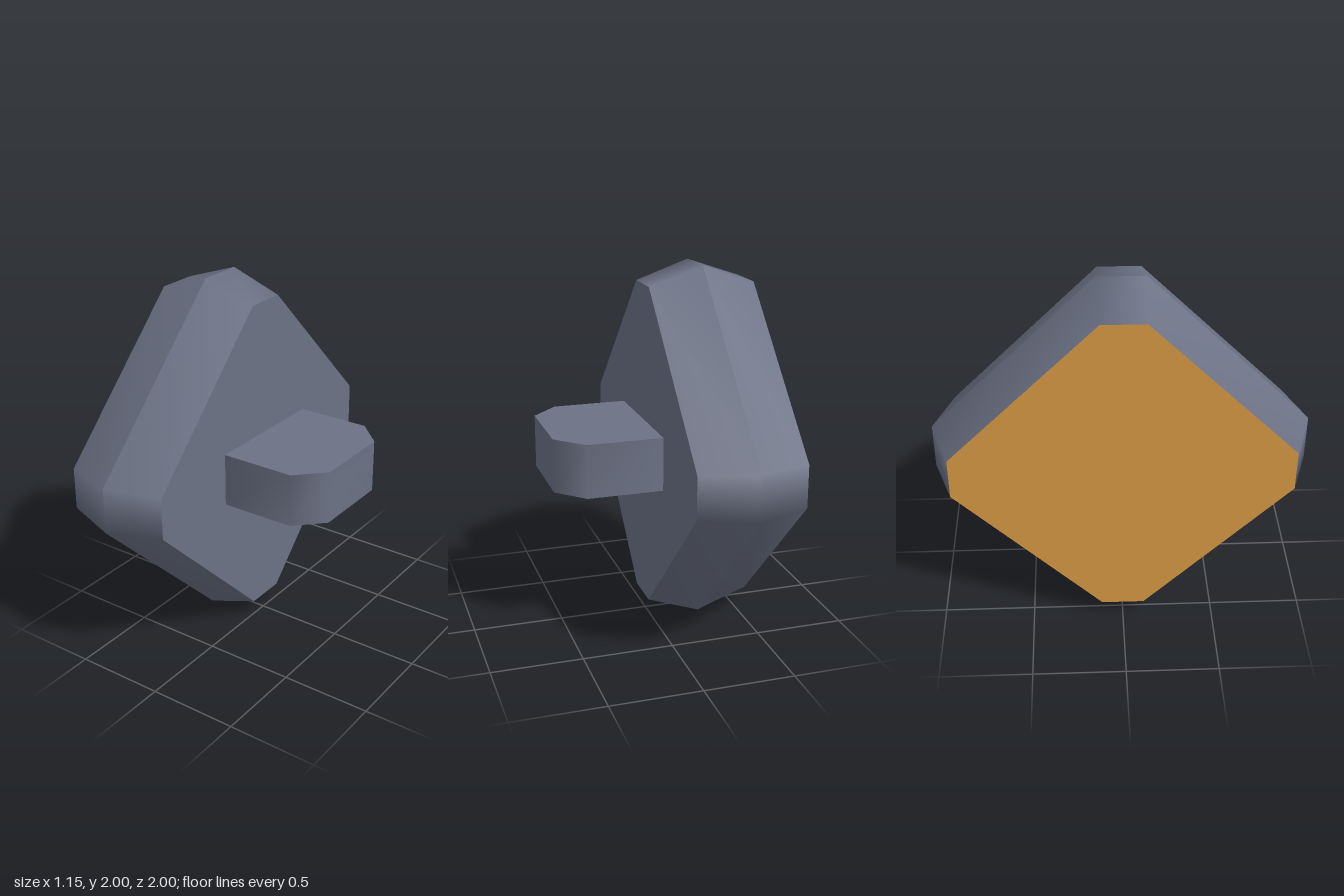
import * as THREE from 'three';

const steel = new THREE.MeshStandardMaterial({ color: 0x6c7285 });
steel.name = 'slate grey';
const amber = new THREE.MeshStandardMaterial({ color: 0xd99a44 });
amber.name = 'amber';

// Chamfered square outline, counter-clockwise: half width h, half flat f
const outline = (h, f) => [
  [h, f], [f, h], [-f, h], [-h, f], [-h, -f], [-f, -h], [f, -h], [h, -f],
];

function geometry(points, index) {
  const g = new THREE.BufferGeometry();
  g.setAttribute('position', new THREE.Float32BufferAttribute(points.flat(), 3));
  g.setIndex(index);
  g.computeVertexNormals();
  return g;
}

// Wall between two rings, smooth around its corners
function band(a, b) {
  const n = a.length, index = [];
  for (let i = 0; i < n; i++) {
    const j = (i + 1) % n;
    index.push(i, j, n + j, i, n + j, n + i);
  }
  return geometry([...a, ...b], index);
}

// Flat face over a ring
function cap(ring, flip = false) {
  const index = [];
  for (let i = 1; i < ring.length - 1; i++) {
    index.push(0, ...(flip ? [i + 1, i] : [i, i + 1]));
  }
  return geometry(ring, index);
}

function add(parent, name, geo, material) {
  const mesh = new THREE.Mesh(geo, material);
  mesh.name = name;
  parent.add(mesh);
}

export function createModel() {
  const model = new THREE.Group();
  model.name = 'diamondKnob';

  // Diamond plate, bulging along its middle ridge
  const plate = new THREE.Group();
  plate.name = 'plate';
  const plateRing = (x, h, f) => outline(h, f).map(([u, v]) => [x, 1 + u, v]);
  const outer = plateRing(-0.575, 0.9, 0.115);
  const ridge = plateRing(-0.28, 1, 0.127);
  const inner = plateRing(0.015, 0.9, 0.115);
  add(plate, 'outerBevel', band(outer, ridge), steel);
  add(plate, 'innerBevel', band(ridge, inner), steel);
  add(plate, 'innerFace', cap(inner), steel);
  add(plate, 'outerFace', cap(outer, true), amber);
  model.add(plate);

  // Stub with chamfered corners, its root sunk into the plate
  const stub = new THREE.Group();
  stub.name = 'stub';
  const stubRing = (y) => outline(0.372, 0.226).map(([u, v]) => [0.203 + v, y, u]);
  const bottom = stubRing(0.855);
  const top = stubRing(1.15);
  add(stub, 'stubSide', band(bottom, top), steel);
  add(stub, 'stubTop', cap(top), steel);
  add(stub, 'stubBottom', cap(bottom, true), steel);
  model.add(stub);

  return model;
}
